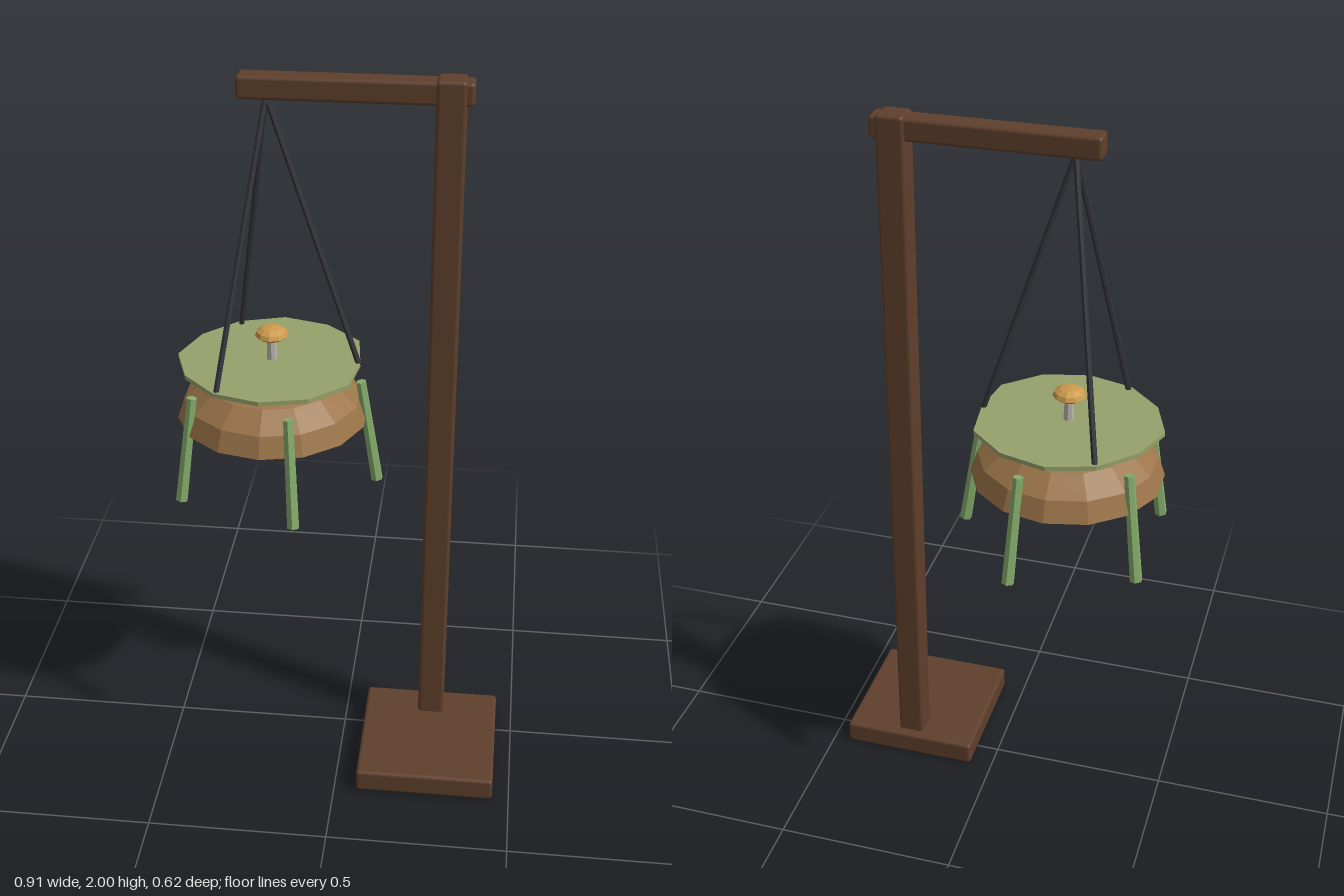
import * as THREE from 'three';
import { RoundedBoxGeometry } from 'three/addons/geometries/RoundedBoxGeometry.js';

const CX = -0.2, CZ = -0.022; // axis of the hanging planter

const material = (name, color, flatShading = true) => {
  const m = new THREE.MeshStandardMaterial({ color, flatShading });
  m.name = name;
  return m;
};

export function createModel() {
  const model = new THREE.Group();
  model.name = 'hangingPlanter';
  const wood = material('dark wood', 0x5f3f2c, false);
  const bark = material('bark brown', 0x9c7549);
  const leafGreen = material('leaf green', 0x96a16b);
  const legGreen = material('stalk green', 0x86ad6c);
  const rope = material('charcoal rope', 0x34353b);
  const capGold = material('golden cap', 0xcc9a4a);
  const stemGrey = material('pale stem', 0xb9b6ac);

  const add = (name, geometry, mat, x, y, z) => {
    const mesh = new THREE.Mesh(geometry, mat);
    mesh.name = name;
    mesh.position.set(x, y, z);
    model.add(mesh);
    return mesh;
  };

  // Tapered rod between two points
  const rod = (name, from, to, r0, r1, sides, mat) => {
    const dir = to.clone().sub(from);
    const mesh = add(name, new THREE.CylinderGeometry(r1, r0, dir.length(), sides), mat, 0, 0, 0);
    mesh.position.copy(from).add(to).multiplyScalar(0.5);
    mesh.quaternion.setFromUnitVectors(new THREE.Vector3(0, 1, 0), dir.normalize());
    return mesh;
  };

  // Point around the planter axis
  const around = (angle, radius, y) =>
    new THREE.Vector3(CX + Math.cos(angle) * radius, y, CZ + Math.sin(angle) * radius);

  // Wooden stand
  add('base', new RoundedBoxGeometry(0.39, 0.067, 0.39, 2, 0.01), wood, 0.258, 0.0335, 0.11);
  add('post', new RoundedBoxGeometry(0.075, 1.94, 0.075, 2, 0.01), wood, 0.258, 1.03, CZ);
  add('beam', new RoundedBoxGeometry(0.585, 0.06, 0.062, 2, 0.01), wood, 0.022, 1.965, CZ);

  // Domed body with a closed underside
  const profile = [new THREE.Vector2(0, 0)];
  for (let i = 0; i <= 4; i++) {
    const a = (i / 4) * Math.PI / 2;
    profile.push(new THREE.Vector2(i === 4 ? 0 : 0.26 * Math.cos(a), 0.15 * Math.sin(a)));
  }
  add('dome', new THREE.LatheGeometry(profile, 14), bark, CX, 1.05, CZ);

  // Thin uneven leaf plate on the dome
  const radii = [0.238, 0.257, 0.251, 0.253, 0.247, 0.246, 0.256, 0.246, 0.246, 0.247, 0.251, 0.255];
  const outline = radii.map((r, i) => {
    const a = (i / radii.length) * Math.PI * 2;
    return new THREE.Vector2(Math.cos(a) * r, Math.sin(a) * r);
  });
  const leaf = new THREE.ExtrudeGeometry(new THREE.Shape(outline), { depth: 0.012, bevelEnabled: false });
  leaf.rotateX(-Math.PI / 2);
  add('leafPlate', leaf, leafGreen, CX, 1.202, CZ);

  // Small mushroom on top
  add('mushroomStem', new THREE.CylinderGeometry(0.012, 0.015, 0.08, 8), stemGrey, CX, 1.242, CZ);
  const capProfile = [[0, -0.011], [0.03, -0.011], [0.045, 0], [0.04, 0.011], [0.025, 0.02], [0, 0.024]];
  const cap = new THREE.LatheGeometry(capProfile.map(([x, y]) => new THREE.Vector2(x, y)), 10);
  add('mushroomCap', cap, capGold, CX, 1.285, CZ);

  // Five splayed stalk legs
  for (let i = 0; i < 5; i++) {
    const a = (i / 5) * Math.PI * 2;
    rod('leg', around(a, 0.286, 0.855), around(a, 0.24, 1.157), 0.017, 0.014, 6, legGreen);
  }

  // Three ropes meeting under the beam
  const hook = new THREE.Vector3(CX, 1.94, CZ);
  for (let i = 0; i < 3; i++) {
    rod('rope', around((i / 3) * Math.PI * 2, 0.234, 1.208), hook, 0.008, 0.008, 6, rope);
  }
  return model;
}
